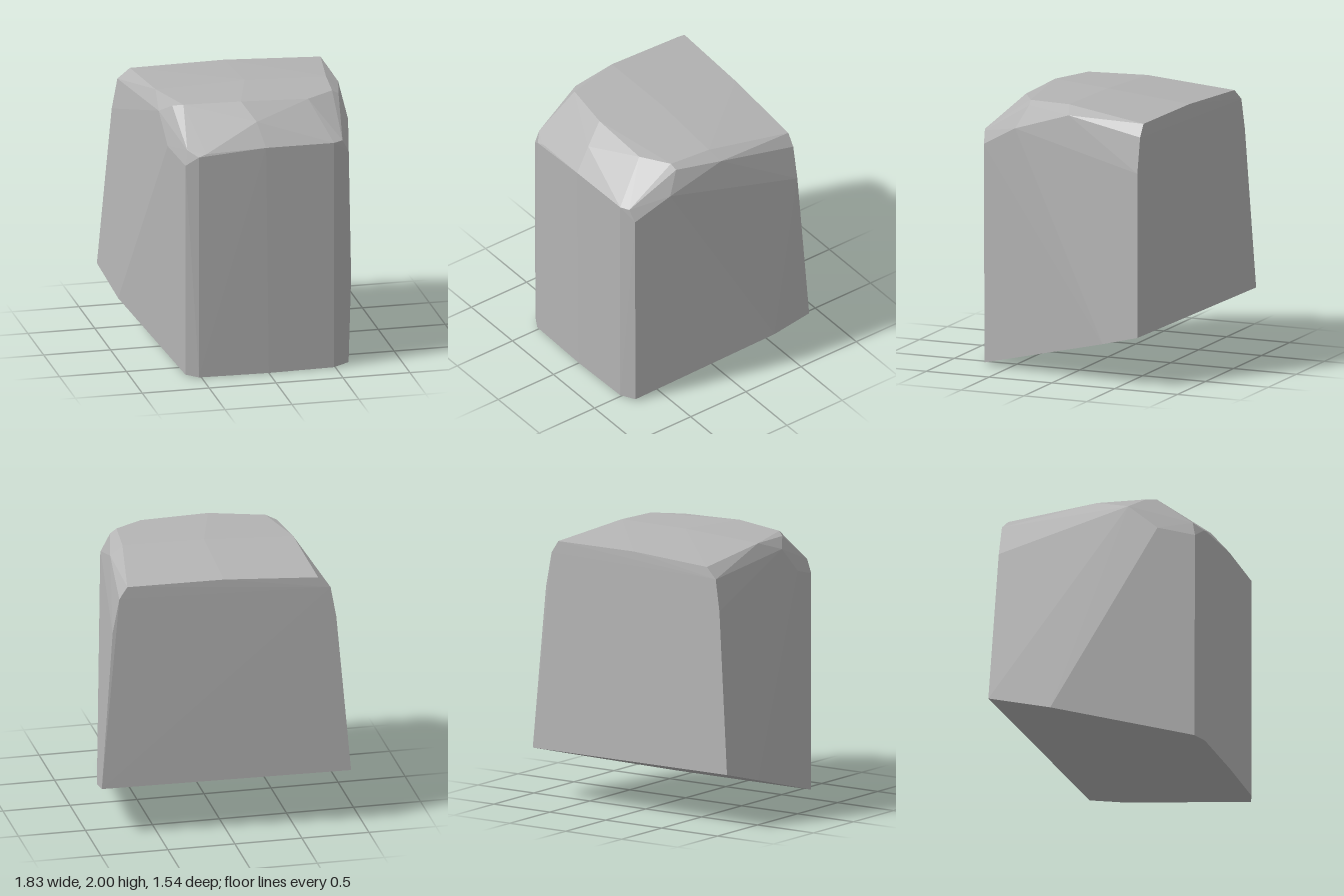
import * as THREE from 'three';
import { ConvexGeometry } from 'three/addons/geometries/ConvexGeometry.js';

export function createModel() {
  const stone = new THREE.MeshStandardMaterial({ color: 0xb4b4b4 });
  stone.name = 'stone grey';

  // Sloping base: its height follows from the depth
  const base = [
    [-0.92, -0.77], [-0.87, -0.31], [-0.61, 0.71], [-0.52, 0.76], [0, 0.77],
    [0.49, 0.76], [0.61, 0.71], [0.88, -0.35], [0.91, -0.64],
  ].map(([x, z]) => [x, (0.77 - z) * 0.263, z]);

  // Slanted rear face
  const rear = [
    [-0.82, 1.6, -0.725], [-0.78, 1.83, -0.715], [-0.69, 1.91, -0.7], [0, 1.935, -0.65],
    [0.71, 1.92, -0.6], [0.77, 1.83, -0.6], [0.82, 1.57, -0.6],
  ];

  // Upper end of the upright front face and its bevelled corners
  const front = [
    [-0.61, 1.62, 0.715], [-0.52, 1.69, 0.755], [-0.46, 1.71, 0.75], [-0.02, 1.73, 0.77],
    [0.49, 1.725, 0.76], [0.56, 1.73, 0.73], [0.61, 1.64, 0.715],
    [-0.59, 1.73, 0.69], [-0.68, 1.69, 0.45], [0.67, 1.79, 0.44], [-0.06, 1.89, 0.64],
  ];

  // Crown
  const crown = [
    [-0.55, 1.98, 0.4], [-0.14, 2, 0.48], [0.36, 1.985, 0.49], [0.57, 1.99, 0.36],
    [0.62, 1.96, 0.35], [-0.62, 1.96, 0.34], [-0.695, 1.89, 0.23], [-0.66, 1.97, -0.02],
    [0, 1.997, 0], [0.6, 1.99, 0.04], [0.7, 1.93, 0],
  ];

  const points = [...base, ...rear, ...front, ...crown].map((p) => new THREE.Vector3(...p));
  const rock = new THREE.Mesh(new ConvexGeometry(points), stone);
  rock.name = 'stoneBlock';

  const group = new THREE.Group();
  group.name = 'stone';
  group.add(rock);
  return group;
}
